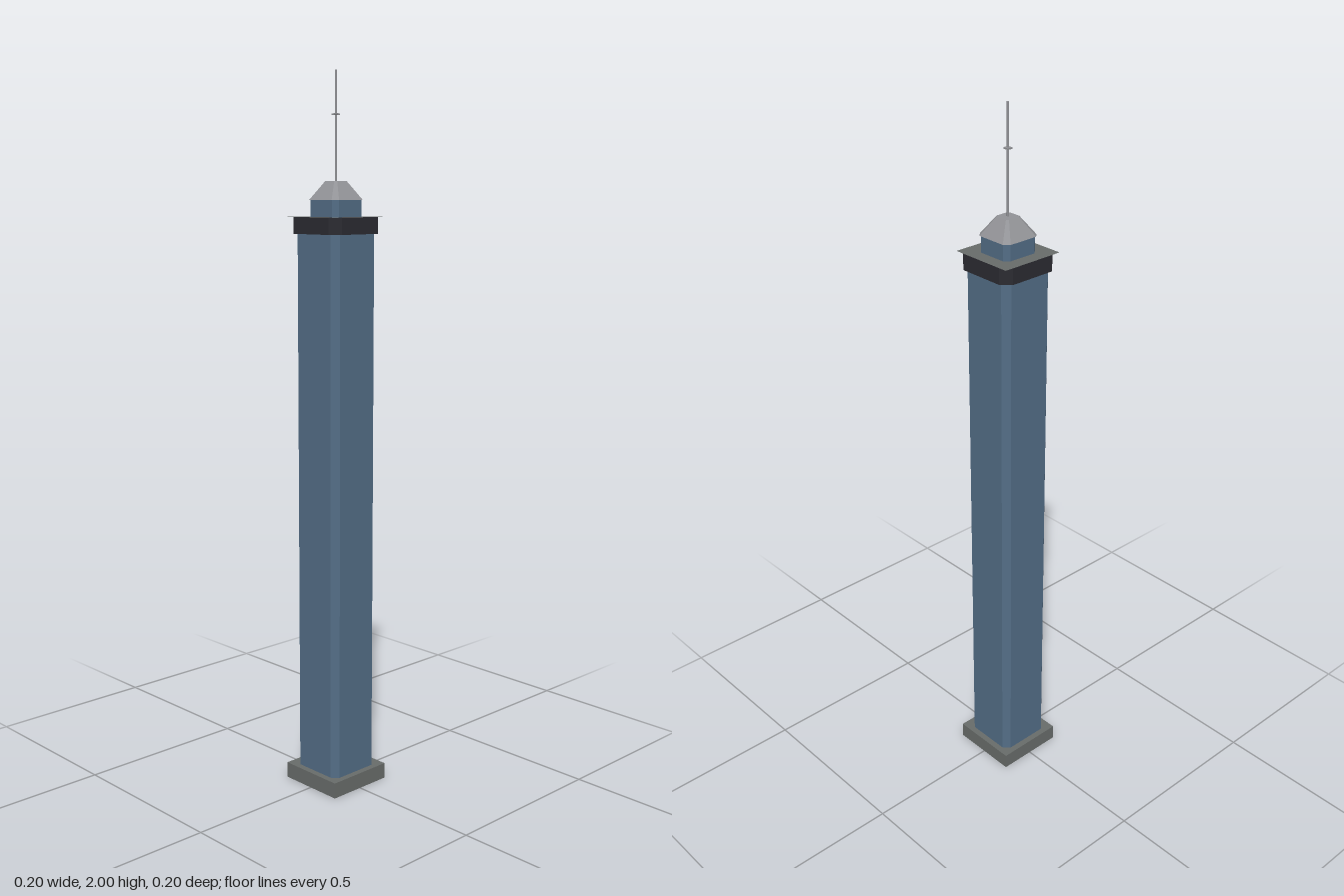
import * as THREE from 'three';

const mat = (name, color) => {
  const m = new THREE.MeshStandardMaterial({ color });
  m.name = name;
  return m;
};

// Square outline of half-width h with corners cut by c, listed from +x towards +z
function outline(h, c, y) {
  const k = h - c;
  return [[h, -k], [h, k], [k, h], [-k, h], [-h, k], [-h, -k], [-k, -h], [k, -h]]
    .map(([x, z]) => [x, y, z]);
}

// Flat-shaded solid between two cut-corner squares
function chamferedBlock(h0, c0, y0, h1, c1, y1, topCap = true) {
  const low = outline(h0, c0, y0);
  const high = outline(h1, c1, y1);
  const tris = [];
  low.forEach((p, i) => {
    const j = (i + 1) % low.length;
    tris.push(p, high[i], high[j], p, high[j], low[j]);
    tris.push([0, y0, 0], p, low[j]);
    if (topCap) tris.push([0, y1, 0], high[j], high[i]);
  });
  const geo = new THREE.BufferGeometry();
  geo.setAttribute('position', new THREE.Float32BufferAttribute(tris.flat(), 3));
  geo.computeVertexNormals();
  return geo;
}

export function createModel() {
  const group = new THREE.Group();
  group.name = 'tower';

  const glass = mat('blue glass', 0x536d86);
  const stone = mat('grey stone', 0x686c6a);
  stone.side = THREE.DoubleSide;
  const dark = mat('dark band', 0x2b2b31);
  const metal = mat('light metal', 0x929397);

  const add = (name, geo, material, y = 0) => {
    const mesh = new THREE.Mesh(geo, material);
    mesh.name = name;
    mesh.position.y = y;
    group.add(mesh);
  };

  // Podium, open underneath: the downward face of the box is left out
  const podium = new THREE.BoxGeometry(0.2, 0.045, 0.2);
  const faces = Array.from(podium.index.array);
  podium.setIndex(faces.filter((_, i) => i < 18 || i >= 24));
  podium.clearGroups();
  add('podium', podium, stone, 0.0225);

  // Shaft with cut corners and the dark band under the roof
  add('shaft', chamferedBlock(0.082, 0.018, 0.045, 0.082, 0.018, 1.572), glass);
  add('crownBand', chamferedBlock(0.093, 0.025, 1.57, 0.093, 0.025, 1.615, false), dark);

  // Thin square roof deck whose corners overhang the band
  add('roofDeck', new THREE.PlaneGeometry(0.187, 0.187).rotateX(-Math.PI / 2), stone, 1.615);

  // Lantern storey and its sloping cap
  add('lantern', chamferedBlock(0.055, 0.013, 1.615, 0.055, 0.013, 1.66), glass);
  add('lanternCap', chamferedBlock(0.058, 0.014, 1.66, 0.023, 0.0055, 1.71), metal);

  // Mast with a small plate part way up
  add('mast', new THREE.CylinderGeometry(0.003, 0.003, 0.29, 8), metal, 1.855);
  add('mastPlate', new THREE.BoxGeometry(0.016, 0.004, 0.016), metal, 1.885);

  return group;
}
